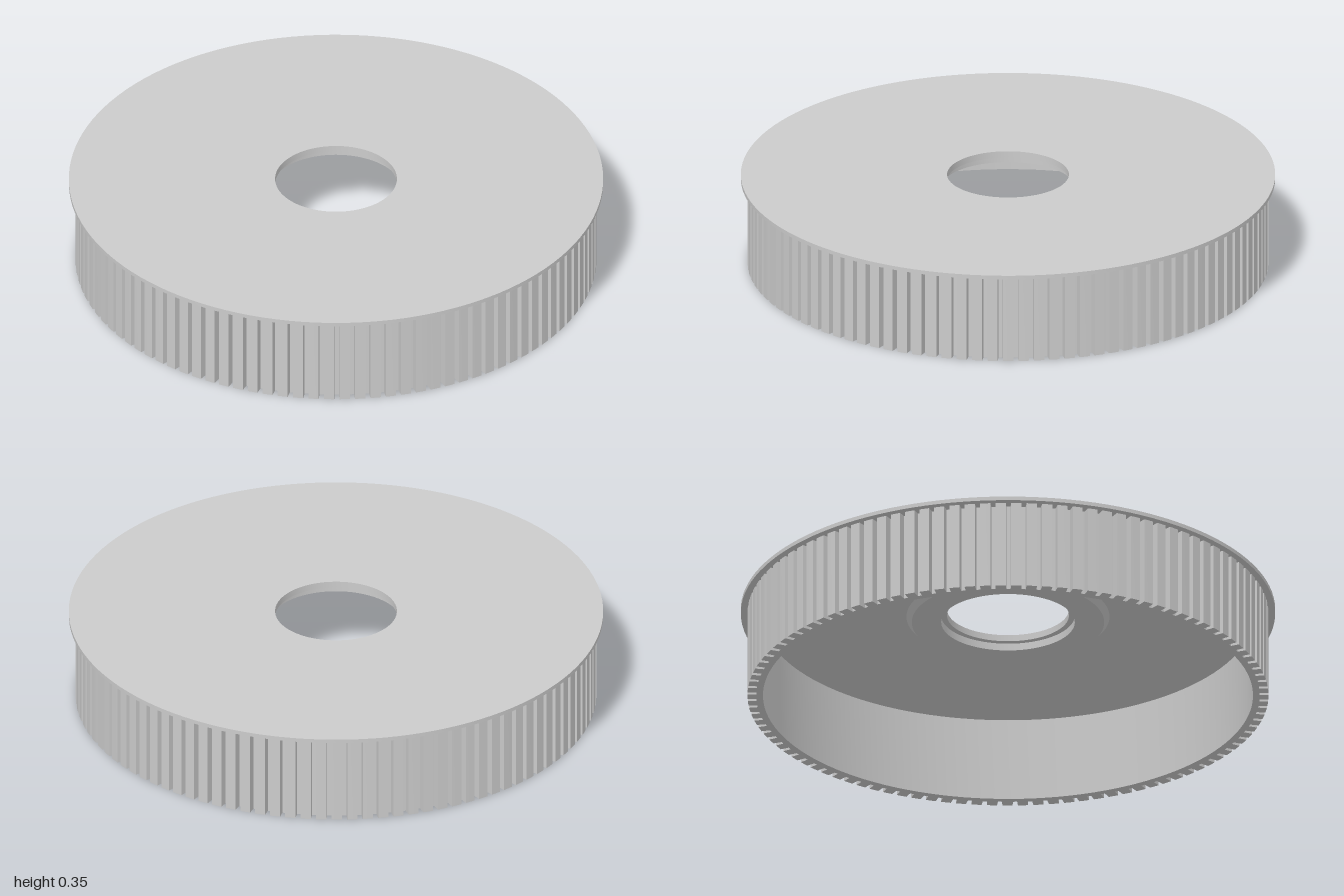
import * as THREE from 'three';
import { toCreasedNormals } from 'three/addons/utils/BufferGeometryUtils.js';

const TEETH = 105;
const TIP = 0.975, ROOT = 0.942, INNER = 0.917;
const WALL_TOP = 0.34, TOP = 0.355;

export function createModel() {
  const group = new THREE.Group();
  group.name = 'toothedPulley';
  const material = new THREE.MeshStandardMaterial({ color: 0xcccccc });

  const add = (name, geometry) => {
    const mesh = new THREE.Mesh(toCreasedNormals(geometry, 0.35), material);
    mesh.name = name;
    group.add(mesh);
  };

  // Toothed rim: wide teeth with narrow, slightly tapered grooves
  const outline = [];
  const pitch = (2 * Math.PI) / TEETH;
  const tooth = [[-0.36, ROOT], [-0.33, TIP], [0, TIP], [0.33, TIP], [0.36, ROOT]];
  for (let i = 0; i < TEETH; i++) {
    for (const [t, r] of tooth) {
      const a = (i + t) * pitch + Math.PI / 2;
      outline.push(new THREE.Vector2(r * Math.cos(a), r * Math.sin(a)));
    }
  }
  const rimShape = new THREE.Shape(outline);
  rimShape.holes.push(new THREE.Path().absarc(0, 0, INNER, 0, 2 * Math.PI, true));
  const rim = new THREE.ExtrudeGeometry(rimShape, {
    depth: WALL_TOP, bevelEnabled: false, curveSegments: 64,
  });
  rim.rotateX(-Math.PI / 2);
  add('toothedRim', rim);

  // Flange, web, hub boss and stepped bore as one turned section
  const section = [
    [0.25, 0.302], [0.36, 0.302], [0.38, 0.325],   // hub boss underside
    [0.93, 0.325], [0.93, WALL_TOP],               // web
    [1, WALL_TOP], [1, TOP],                       // flange edge
    [0.228, TOP], [0.228, 0.33], [0.25, 0.33], [0.25, 0.302], // stepped bore
  ].map(([r, y]) => new THREE.Vector2(r, y));
  add('flangeAndHub', new THREE.LatheGeometry(section, 128));

  return group;
}
